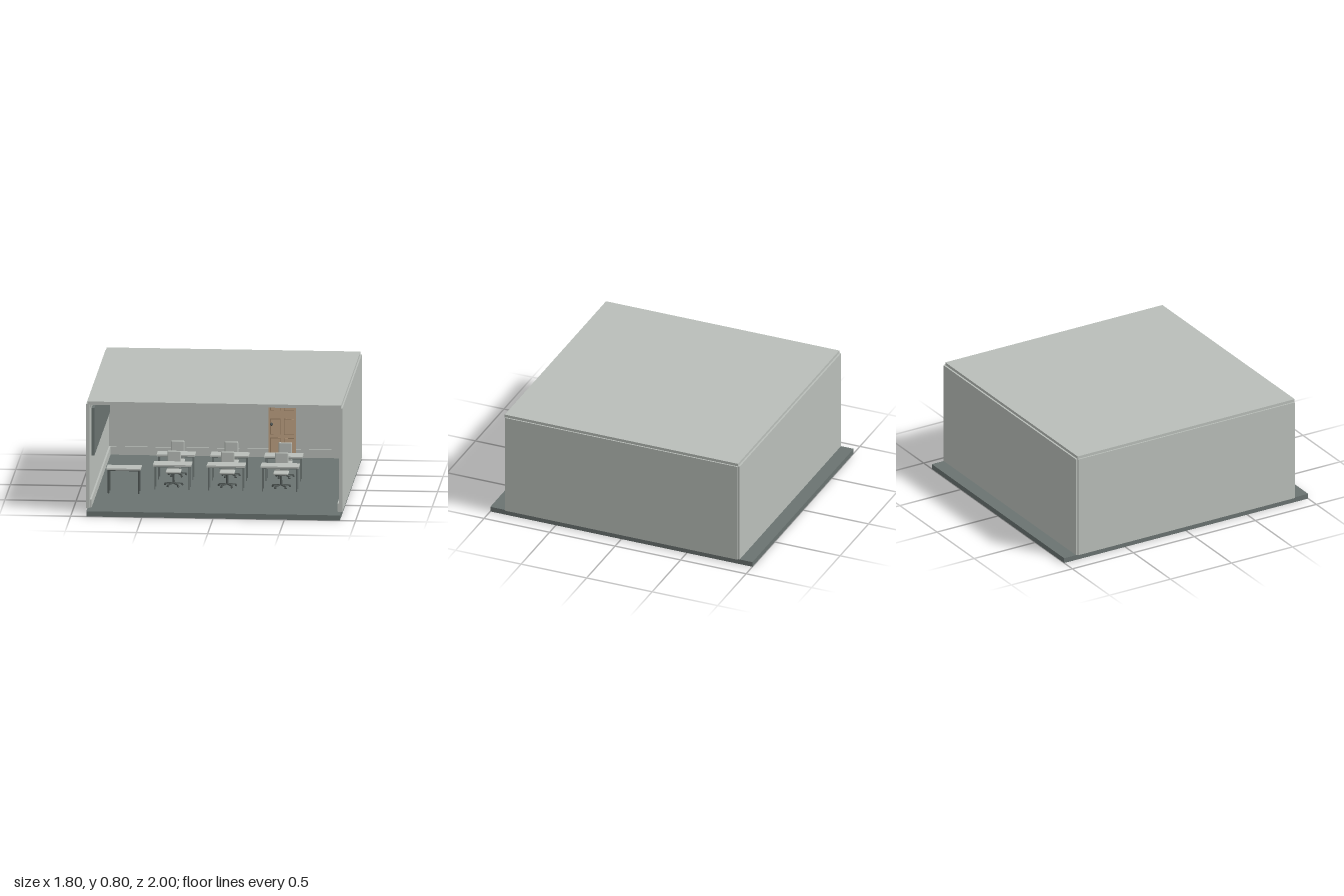
import * as THREE from 'three';
import { RoundedBoxGeometry } from 'three/addons/geometries/RoundedBoxGeometry.js';

const mat = (name, color) => {
  const m = new THREE.MeshStandardMaterial({ color });
  m.name = name;
  return m;
};

export function createModel() {
  const M = {
    wall: mat('pale grey', 0xb9beb9),
    floor: mat('slate grey', 0x6a7371),
    door: mat('light wood', 0xbfa283),
    groove: mat('dark wood', 0x9c8166),
    dark: mat('charcoal', 0x4f5654),
  };
  const FLOOR = 0.037;
  const room = new THREE.Group();
  room.name = 'classroom';

  const add = (parent, name, geo, m, x = 0, y = 0, z = 0) => {
    const mesh = new THREE.Mesh(geo, m);
    mesh.name = name;
    mesh.position.set(x, y, z);
    parent.add(mesh);
    return mesh;
  };
  // Box given by its limits along each axis
  const box = (parent, name, m, x0, x1, y0, y1, z0, z1) =>
    add(parent, name, new THREE.BoxGeometry(x1 - x0, y1 - y0, z1 - z0), m,
      (x0 + x1) / 2, (y0 + y1) / 2, (z0 + z1) / 2);

  // Shell: floor slab, roof, back wall and two side walls, open at the front
  box(room, 'floor', M.floor, -0.89, 0.89, 0, FLOOR, -1, 1);
  box(room, 'roof', M.wall, -0.89, 0.89, 0.777, 0.8, -0.89, 0.89);
  box(room, 'backWall', M.wall, -0.89, 0.89, FLOOR, 0.78, -0.903, -0.88);
  for (const s of [-1, 1]) {
    const side = s < 0 ? 'right' : 'left';
    const strip = (name, a, b, y0, y1, z0, z1) =>
      box(room, side + name, M.wall, Math.min(s * a, s * b), Math.max(s * a, s * b), y0, y1, z0, z1);
    strip('Wall', 0.875, 0.9, FLOOR, 0.78, -0.89, 0.885);
    strip('Skirting', 0.863, 0.876, FLOOR, 0.095, -0.88, 0.88);
    strip('Cornice', 0.863, 0.876, 0.755, 0.777, -0.88, 0.88);
  }
  // Trim along the back wall, leaving the doorway clear
  box(room, 'backCornice', M.wall, -0.865, 0.865, 0.755, 0.777, -0.881, -0.868);
  box(room, 'backSkirtingRight', M.wall, -0.865, 0.245, FLOOR, 0.095, -0.881, -0.868);
  box(room, 'backSkirtingLeft', M.wall, 0.44, 0.865, FLOOR, 0.095, -0.881, -0.868);

  // Board on the right wall
  box(room, 'board', M.floor, -0.876, -0.855, 0.375, 0.715, -0.71, 0.71);

  // Panelled door in the back wall
  const door = new THREE.Group();
  door.name = 'door';
  room.add(door);
  box(door, 'doorLeaf', M.door, 0.245, 0.44, FLOOR, 0.56, -0.881, -0.866);
  for (const [x0, x1] of [[0.258, 0.331], [0.354, 0.427]]) {
    for (const [y0, y1] of [[0.484, 0.54], [0.372, 0.46], [0.2, 0.315], [0.06, 0.178]]) {
      box(door, 'panelGroove', M.groove, x0, x1, y0, y1, -0.868, -0.865);
      box(door, 'panelFace', M.door, x0 + 0.006, x1 - 0.003, y0 + 0.003, y1 - 0.006, -0.868, -0.863);
    }
  }
  const rose = add(door, 'knobPlate', new THREE.CylinderGeometry(0.011, 0.011, 0.006, 16), M.dark, 0.268, 0.275, -0.863);
  rose.rotation.x = Math.PI / 2;
  add(door, 'knob', new THREE.SphereGeometry(0.009, 12, 8), M.dark, 0.268, 0.275, -0.851);

  // Table: thin top, under-frame and four slender legs
  const table = (name, x0, x1, z0, z1, legMat, r) => {
    const t = new THREE.Group();
    t.name = name;
    room.add(t);
    box(t, 'tableTop', M.wall, x0, x1, 0.205, 0.217, z0, z1);
    const i = 0.014;
    for (const z of [z0 + i, z1 - i])
      box(t, 'rail', legMat, x0 + i, x1 - i, 0.197, 0.206, z - 0.003, z + 0.003);
    for (const x of [x0 + i, x1 - i]) {
      box(t, 'rail', legMat, x - 0.003, x + 0.003, 0.197, 0.206, z0 + i, z1 - i);
      for (const z of [z0 + i, z1 - i])
        add(t, 'tableLeg', new THREE.CylinderGeometry(r, r, 0.17, 10), legMat, x, FLOOR + 0.085, z);
    }
  };

  // Swivel chair with a five-armed castor base
  const chair = (x, z) => {
    const c = new THREE.Group();
    c.name = 'chair';
    c.position.set(x, FLOOR, z);
    room.add(c);
    add(c, 'seat', new RoundedBoxGeometry(0.106, 0.016, 0.1, 2, 0.007), M.wall, 0, 0.105, 0);
    add(c, 'seatPan', new THREE.BoxGeometry(0.06, 0.008, 0.06), M.dark, 0, 0.094, 0);
    add(c, 'backrest', new RoundedBoxGeometry(0.095, 0.128, 0.016, 3, 0.0075), M.wall, 0, 0.175, -0.054);
    box(c, 'backSupport', M.dark, -0.008, 0.008, 0.09, 0.17, -0.069, -0.061);
    box(c, 'backBracket', M.dark, -0.008, 0.008, 0.088, 0.095, -0.069, 0);
    add(c, 'post', new THREE.CylinderGeometry(0.007, 0.009, 0.076, 12), M.dark, 0, 0.055, 0);
    for (let k = 0; k < 5; k++) {
      const arm = new THREE.Group();
      arm.name = 'baseArm';
      arm.rotation.y = (k / 5) * Math.PI * 2 + Math.PI / 10;
      c.add(arm);
      const spoke = add(arm, 'spoke', new THREE.BoxGeometry(0.064, 0.007, 0.011), M.dark, 0.033, 0.018, 0);
      spoke.rotation.z = -0.1;
      const wheel = add(arm, 'castor', new THREE.CylinderGeometry(0.007, 0.007, 0.012, 12), M.dark, 0.063, 0.007, 0);
      wheel.rotation.x = Math.PI / 2;
    }
  };

  // Lone desk beside the board, then rows of desks with chairs
  table('frontDesk', -0.795, -0.555, 0.285, 0.408, M.dark, 0.006);
  for (const z of [0.262, -0.072])
    for (const x of [-0.345, 0.032, 0.41]) {
      table('desk', x - 0.134, x + 0.134, z - 0.125, z, M.floor, 0.004);
      chair(x, z - 0.145);
    }

  return room;
}
